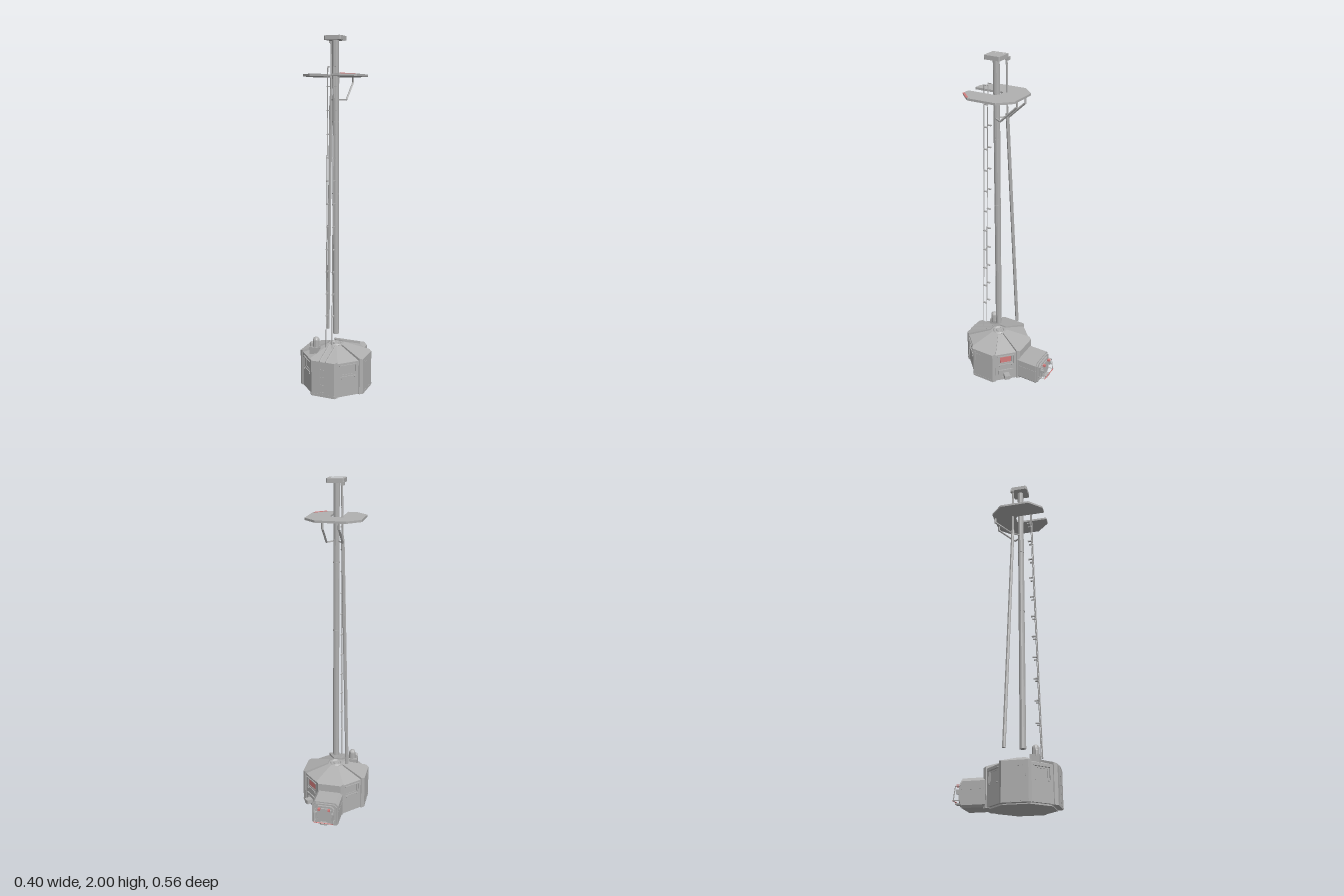
import * as THREE from 'three';

const CZ = 0.085; // z of the mast and cabin axis
const mat = (name, color, extra = {}) => {
  const m = new THREE.MeshStandardMaterial({ color, ...extra });
  m.name = name;
  return m;
};

export function createModel() {
  const grey = mat('steel grey', 0xb0b0b0, { flatShading: true });
  const red = mat('signal red', 0xd47c7c, { flatShading: true });
  const model = new THREE.Group();
  model.name = 'lookoutTower';

  const add = (parent, name, geo, x = 0, y = 0, z = 0, material = grey) => {
    const mesh = new THREE.Mesh(geo, material);
    mesh.name = name;
    mesh.position.set(x, y, z);
    parent.add(mesh);
    return mesh;
  };
  const box = (parent, name, w, h, d, x, y, z, material) =>
    add(parent, name, new THREE.BoxGeometry(w, h, d), x, y, z, material);
  // square or round bar between two points
  const bar = (parent, name, a, b, r, sides = 4, material = grey) => {
    const p = new THREE.Vector3(...a), q = new THREE.Vector3(...b);
    const mesh = add(parent, name, new THREE.CylinderGeometry(r, r, p.distanceTo(q), sides), 0, 0, 0, material);
    mesh.position.copy(p).add(q).multiplyScalar(0.5);
    mesh.quaternion.setFromUnitVectors(new THREE.Vector3(0, 1, 0), q.sub(p).normalize());
    return mesh;
  };
  const poly = pts => new THREE.Shape(pts.map(p => new THREE.Vector2(...p)));
  const rectPts = (w, h, c) => [[-w + c, -h], [w - c, -h], [w, -h + c], [w, h - c], [w - c, h], [-w + c, h], [-w, h - c], [-w, -h + c]];
  const plate = (pts, depth, hole) => {
    const s = poly(pts);
    if (hole) s.holes.push(new THREE.Path(hole.map(p => new THREE.Vector2(...p))));
    return new THREE.ExtrudeGeometry(s, { depth, bevelEnabled: false });
  };
  // plan outline (x, z) raised upwards; plan y is -z
  const slab = (pts, height, hole) =>
    plate(pts.map(([x, z]) => [x, -z]), height, hole && hole.map(([x, z]) => [x, -z])).rotateX(-Math.PI / 2);
  const sector = (name, angle) => {
    const g = new THREE.Group();
    g.name = name;
    g.position.z = CZ;
    g.rotation.y = angle;
    model.add(g);
    return g;
  };

  // Cabin core and roof
  const k = 1 / Math.cos(Math.PI / 8);
  const oct = (rTop, rBottom, h) => new THREE.CylinderGeometry(rTop * k, rBottom * k, h, 8).rotateY(Math.PI / 8);
  add(model, 'cabinCore', oct(0.172, 0.172, 0.2), 0, 0.108, CZ);
  add(model, 'cabinFoot', oct(0.165, 0.165, 0.01), 0, 0.005, CZ);
  add(model, 'cabinRoof', oct(0.045, 0.18, 0.05), 0, 0.231, CZ);
  const ring = add(model, 'roofRing', new THREE.TorusGeometry(0.032, 0.005, 4, 20), 0, 0.257, CZ);
  ring.rotation.x = Math.PI / 2;
  add(model, 'roofHub', new THREE.CylinderGeometry(0.015, 0.018, 0.008, 12), 0, 0.26, CZ);

  // Four proud straight bays, their tops sloped up towards the axis
  for (let i = 0; i < 4; i++) {
    const g = sector('straightBay', i * Math.PI / 2);
    const geo = slab([[-0.022, 0.045], [-0.083, 0.178], [-0.07, 0.195], [0.07, 0.195], [0.083, 0.178], [0.022, 0.045]], 0.205);
    const p = geo.attributes.position;
    for (let j = 0; j < p.count; j++)
      if (p.getY(j) > 0.1) p.setY(j, 0.208 + (0.195 - p.getZ(j)) * 0.34);
    geo.computeVertexNormals();
    add(g, 'bayBlock', geo, 0, 0.005, 0);
    box(g, 'baySkirt', 0.142, 0.01, 0.004, 0, 0.015, 0.194);
    if (i % 2) { // small handles and pins on the side bays
      const s = i === 1 ? -1 : 1;
      box(g, 'grabHandle', 0.004, 0.07, 0.005, s * 0.055, 0.165, 0.197);
      for (const x of [0.02, 0.04]) box(g, 'wallPin', 0.005, 0.007, 0.005, s * x, 0.185, 0.197);
    }
  }

  // Four diagonal walls with recessed windows
  for (let i = 0; i < 4; i++) {
    const g = sector('windowBay', Math.PI / 4 + i * Math.PI / 2);
    const hole = [[-0.047, 0.125], [0.047, 0.125], [0.047, 0.188], [-0.047, 0.188]];
    add(g, 'windowWall', plate([[-0.077, 0.008], [0.077, 0.008], [0.077, 0.206], [-0.077, 0.206]], 0.009, hole), 0, 0, 0.171);
    const inner = [[-0.036, 0.135], [0.036, 0.135], [0.036, 0.18], [-0.036, 0.18]];
    add(g, 'windowFrame', plate(hole, 0.004, inner), 0, 0, 0.171);
    box(g, 'windowHood', 0.104, 0.005, 0.007, 0, 0.191, 0.182);
    for (const x of [-0.04, 0.04]) box(g, 'sillBracket', 0.008, 0.006, 0.006, x, 0.118, 0.182);
    if (i === 1) { // rear quarter with red blind and air intake
      box(g, 'windowBlind', 0.07, 0.04, 0.004, 0, 0.158, 0.1725, red);
      add(g, 'ventFrame', plate(rectPts(0.05, 0.035, 0.006), 0.007, rectPts(0.032, 0.02, 0.004)), 0, 0.052, 0.18);
      box(g, 'ventDuct', 0.034, 0.026, 0.04, 0, 0.05, 0.202);
    }
  }

  // Front cable channel over the roof and down the wall
  for (const s of [-1, 1]) {
    box(model, 'channelSide', 0.005, 0.2, 0.006, s * 0.019, 0.112, 0.28);
    bar(model, 'channelRoofSide', [s * 0.019, 0.213, 0.28], [s * 0.019, 0.261, 0.14], 0.005);
  }
  for (let i = 0; i < 5; i++) box(model, 'channelStep', 0.036, 0.005, 0.005, 0, 0.03 + i * 0.045, 0.28);

  // Rear entry annex, chamfered section running back
  const section = [[-0.07, 0.012], [0.07, 0.012], [0.08, 0.025], [0.08, 0.148], [0.064, 0.166], [-0.064, 0.166], [-0.08, 0.148], [-0.08, 0.025]];
  add(model, 'annex', plate(section, 0.135), 0, 0, -0.226);
  add(model, 'annexEnd', plate(section.map(([x, y]) => [x * 0.9, 0.089 + (y - 0.089) * 0.9]), 0.01), 0, 0, -0.235);
  for (const s of [-1, 1]) box(model, 'annexSeam', 0.003, 0.004, 0.12, s * 0.08, 0.106, -0.165);

  // Hatch with handrails
  add(model, 'hatchFrame', plate(rectPts(0.056, 0.058, 0.015), 0.012, rectPts(0.044, 0.046, 0.012)), 0, 0.092, -0.246);
  add(model, 'hatchDoor', plate(rectPts(0.042, 0.044, 0.012), 0.012), 0, 0.092, -0.252);
  box(model, 'doorStep', 0.042, 0.008, 0.04, 0, 0.045, -0.257);
  for (const s of [-1, 1]) {
    box(model, 'hatchLight', 0.014, 0.012, 0.016, s * 0.03, 0.136, -0.26, red);
    box(model, 'hatchHinge', 0.012, 0.022, 0.02, s * 0.05, 0.1, -0.252);
    bar(model, 'railTop', [s * 0.056, 0.13, -0.235], [s * 0.056, 0.13, -0.266], 0.003);
    bar(model, 'railUpright', [s * 0.056, 0.13, -0.266], [s * 0.056, 0.055, -0.276], 0.003);
    bar(model, 'railFoot', [s * 0.056, 0.055, -0.235], [s * 0.056, 0.055, -0.278], 0.003);
  }
  bar(model, 'hatchBar', [-0.058, 0.055, -0.278], [0.058, 0.055, -0.278], 0.003, 4, red);

  // Roof exhaust stack
  box(model, 'stackBase', 0.05, 0.05, 0.05, -0.095, 0.232, 0.172);
  add(model, 'stackPipe', new THREE.CapsuleGeometry(0.02, 0.045, 4, 10), -0.087, 0.272, 0.172);
  add(model, 'stackSidePipe', new THREE.CapsuleGeometry(0.011, 0.03, 4, 8), -0.11, 0.262, 0.18);

  // Mast with joints and top cap
  add(model, 'mast', new THREE.CylinderGeometry(0.018, 0.018, 1.66, 12), 0, 1.15, CZ);
  for (const y of [1.14, 1.54]) add(model, 'mastJoint', new THREE.CylinderGeometry(0.0195, 0.0195, 0.008, 12), 0, y, CZ);
  add(model, 'mastCap', slab(rectPts(0.048, 0.048, 0.006), 0.018), 0, 1.977, CZ);
  add(model, 'mastCapRim', slab(rectPts(0.048, 0.048, 0.006), 0.005, rectPts(0.031, 0.031, 0.003)), 0, 1.995, CZ);

  // Lookout platform, open at the front around the mast
  const half = [[0.035, 0.24], [0.085, 0.24], [0.157, 0.168], [0.157, -0.003], [0.085, -0.075]];
  const notch = [[-0.035, 0.075], [-0.02, 0.058], [0.02, 0.058], [0.035, 0.075]];
  const outline = [...half, ...half.map(([x, z]) => [-x, z]).reverse(), ...notch];
  add(model, 'platform', slab(outline, 0.012), 0, 1.784, 0);
  const stripe = box(model, 'platformStripe', 0.085, 0.003, 0.012, 0.118, 1.797, 0.204, red);
  stripe.rotation.y = Math.PI / 4;
  for (const s of [-1, 1]) {
    bar(model, 'platformStrut', [s * 0.045, 1.755, -0.066], [s * 0.045, 1.66, 0.037], 0.006);
    bar(model, 'strutPost', [s * 0.045, 1.79, -0.066], [s * 0.045, 1.75, -0.066], 0.006);
    bar(model, 'strutTie', [s * 0.045, 1.66, 0.037], [s * 0.012, 1.66, CZ], 0.005);
  }

  // Slanting cable conduit beside the mast
  bar(model, 'conduitUpper', [-0.038, 1.98, 0.045], [-0.044, 1.66, 0.045], 0.006, 6);
  bar(model, 'conduitLower', [-0.044, 1.68, 0.045], [-0.086, 0.31, 0.002], 0.01, 6);
  box(model, 'conduitHead', 0.02, 0.018, 0.02, -0.043, 1.975, 0.042);

  // Climbing rails with steps
  const railZ = y => 0.187 - (y - 0.28) * 0.024;
  for (const s of [-1, 1]) {
    const x = s * 0.018;
    bar(model, 'climbRail', [x, 0.265, railZ(0.265)], [x, 1.835, railZ(1.835)], 0.003);
    bar(model, 'railHook', [x, 1.835, railZ(1.835)], [x, 1.835, 0.128], 0.003);
    for (let i = 0; i < 11; i++) {
      const y = 0.45 + i * 0.128;
      box(model, 'climbStep', 0.01, 0.006, 0.024, s * 0.019, y, railZ(y) - 0.011);
    }
  }
  return model;
}
